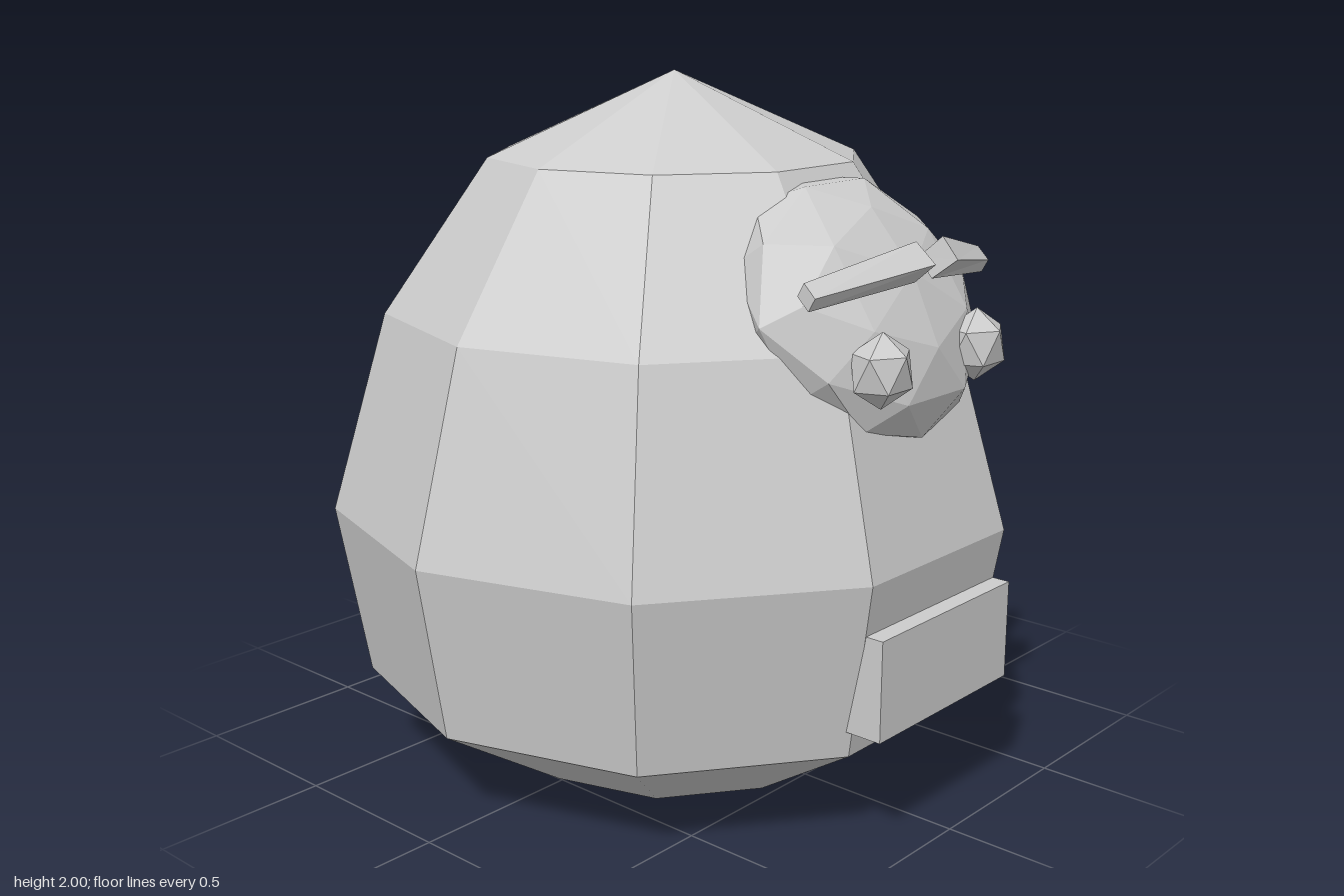
import * as THREE from 'three';

const grey = new THREE.MeshStandardMaterial({ color: 0xcccccc, flatShading: true });
grey.name = 'plain grey';

function part(name, geometry, x = 0, y = 0, z = 0) {
  const mesh = new THREE.Mesh(geometry, grey);
  mesh.name = name;
  mesh.position.set(x, y, z);
  return mesh;
}

// Tapered bar: a box whose ends are moved onto two four-cornered sections.
// Section corners [y, z] run top, front, bottom, back.
function browGeometry(side) {
  const inner = [[1.61, 0.865], [1.555, 0.92], [1.5, 0.85], [1.55, 0.8]];
  const outer = [[1.535, 0.765], [1.5, 0.8], [1.465, 0.78], [1.5, 0.745]];
  const geometry = new THREE.BoxGeometry(1, 1, 1);
  const pos = geometry.attributes.position;
  for (let i = 0; i < pos.count; i++) {
    const up = pos.getY(i) > 0, front = pos.getZ(i) > 0;
    const corner = up ? (front ? 1 : 0) : (front ? 2 : 3);
    const isOuter = pos.getX(i) * side > 0;
    const [y, z] = (isOuter ? outer : inner)[corner];
    const innerX = [0.06, 0.05, 0.038, 0.048][corner];
    pos.setXYZ(i, side * (isOuter ? 0.39 : innerX), y, z);
  }
  geometry.computeVertexNormals();
  return geometry;
}

export function createModel() {
  const model = new THREE.Group();
  model.name = 'figure';

  // Ten-sided egg body, closed at the base and pointed at the top
  const profile = [[0, 0], [0.5, 0], [0.915, 0.27], [1, 0.77], [0.835, 1.335], [0.535, 1.765], [0, 2]]
    .map(([r, y]) => new THREE.Vector2(r, y));
  model.add(part('body', new THREE.LatheGeometry(profile, 10, Math.PI / 2), 0, 0, -0.012));

  // Flattened face leaning back with the body
  const face = part('face', new THREE.IcosahedronGeometry(1, 1), 0, 1.41, 0.65);
  face.scale.set(0.42, 0.39, 0.2);
  face.rotation.x = -0.58;
  model.add(face);

  // Eyes and brows
  for (const side of [-1, 1]) {
    const label = side > 0 ? 'left' : 'right';
    const eyeGeometry = new THREE.IcosahedronGeometry(0.1, 0);
    eyeGeometry.rotateX(-1.017); // one corner points up
    eyeGeometry.scale(1, 1, 0.82);
    model.add(part(label + 'Eye', eyeGeometry, side * 0.215, 1.303, 0.88));
    model.add(part(label + 'Brow', browGeometry(side)));
  }

  // Plate on the lower front
  model.add(part('frontPlate', new THREE.BoxGeometry(0.6, 0.28, 0.12), 0, 0.487, 0.908));

  return model;
}
